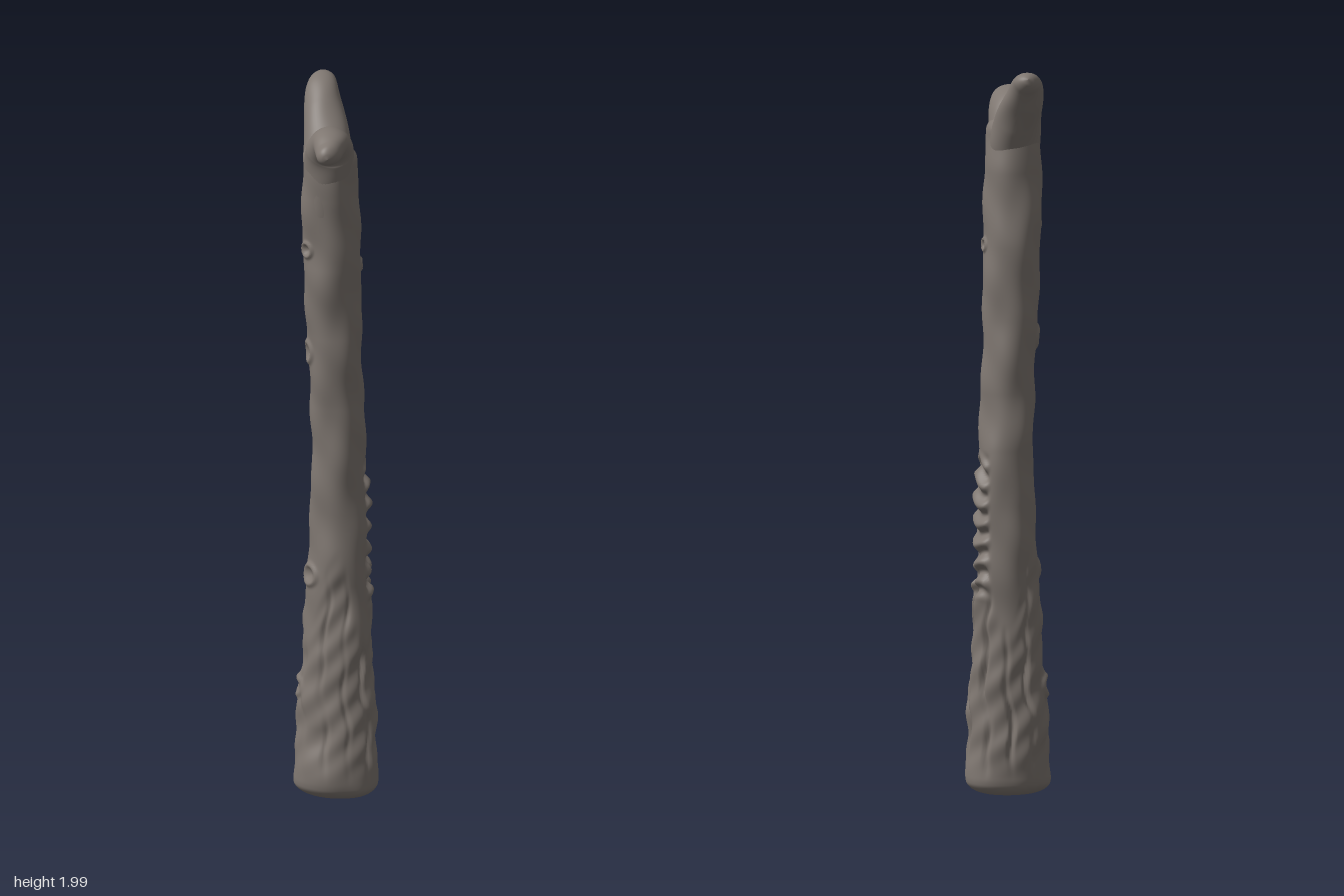
import * as THREE from 'three';

const wood = new THREE.MeshStandardMaterial({ color: 0x7f7771 });
wood.name = 'weatheredWood';

const smooth = (a, b, x) => THREE.MathUtils.smoothstep(x, a, b);
const band = (a, b, soft, x) => smooth(a, a + soft, x) * (1 - smooth(b - soft, b, x));
const angleGap = (a, b) => Math.atan2(Math.sin(a - b), Math.cos(a - b));

// Closed tube skin: place(angle, t) gives a point, t runs from 0 to 1 along it
function skin(name, around, along, place) {
  const pos = [], index = [];
  for (let j = 0; j <= along; j++) {
    for (let i = 0; i < around; i++) {
      pos.push(...place((i / around) * Math.PI * 2, j / along).toArray());
      if (j === along) continue;
      const a = j * around + i, b = j * around + (i + 1) % around;
      index.push(a, a + around, b, b, a + around, b + around);
    }
  }
  const g = new THREE.BufferGeometry();
  g.setAttribute('position', new THREE.Float32BufferAttribute(pos, 3));
  g.setIndex(index);
  g.computeVertexNormals();
  const mesh = new THREE.Mesh(g, wood);
  mesh.name = name;
  return mesh;
}

// Trunk stations: y, min x, max x, min z, max z
const STATIONS = [
  [0.0, -0.065, 0.105, -0.082, 0.12],
  [0.05, -0.072, 0.112, -0.09, 0.125],
  [0.2, -0.055, 0.113, -0.094, 0.115],
  [0.4, -0.041, 0.112, -0.085, 0.102],
  [0.6, -0.031, 0.12, -0.079, 0.092],
  [0.8, -0.026, 0.125, -0.07, 0.085],
  [0.95, -0.026, 0.117, -0.066, 0.08],
  [1.1, -0.031, 0.102, -0.064, 0.079],
  [1.3, -0.045, 0.095, -0.065, 0.08],
  [1.5, -0.059, 0.09, -0.069, 0.085],
  [1.7, -0.069, 0.076, -0.067, 0.087],
  [1.8, -0.072, 0.07, -0.062, 0.086],
  [1.86, -0.065, 0.06, -0.055, 0.08],
];

function station(y) {
  let k = 0;
  while (k < STATIONS.length - 2 && y > STATIONS[k + 1][0]) k++;
  const A = STATIONS[k], B = STATIONS[k + 1];
  const f = smooth(0, 1, (y - A[0]) / (B[0] - A[0]));
  return A.map((v, n) => v + (B[n] - v) * f);
}

// Knots: y, angle, radius
const KNOTS = [[1.25, 3.95, 0.032], [1.55, 3.6, 0.022], [1.5, 0.8, 0.018], [0.62, 3.7, 0.03], [0.3, 4.1, 0.03]];

// Surface relief of the trunk: bark, carved ridges, split grain and knots
function relief(a, y) {
  let d = 0.0022 * Math.sin(y * 23 + 2 * a) + 0.0015 * Math.sin(y * 41 - 3 * a + 1) + 0.001 * Math.sin(5 * a + y * 9);
  const gap = angleGap(a, 0.72);
  // Gnawed cross ridges
  const carved = band(0.53, 0.95, 0.05, y) * band(-0.75, 0.75, 0.25, gap);
  const wave = Math.sin(((y + 0.03 * gap * gap + 0.012 * Math.sin(gap * 4 + y * 11)) / 0.057) * Math.PI * 2);
  d += carved * (0.009 * wave - 0.002);
  // Long splits in the lower part
  const low = band(0.04, 0.6 + 0.12 * Math.sin(3 * a), 0.12, y);
  const grain = Math.sin(9 * a + 0.9 * Math.sin(y * 13) + 0.5 * Math.sin(y * 37));
  const broken = 0.5 + 0.5 * Math.sin(y * 19 + 4 * a);
  const facing = 0.35 + 0.65 * smooth(-0.4, 0.5, Math.cos(a - 0.3));
  d -= low * facing * 0.011 * Math.pow(Math.max(0, grain), 4) * (0.4 + broken);
  d += low * 0.002 * Math.sin(y * 67 + 6 * a);
  // Raised rim with a sunken middle
  for (const [ky, ka, r] of KNOTS) {
    const q = Math.hypot(y - ky, angleGap(a, ka) * 0.075) / r;
    d += 0.007 * Math.exp(-Math.pow((q - 0.85) * 4, 2)) - 0.007 * Math.exp(-q * q * 5);
  }
  return d;
}

function trunkPoint(a, t) {
  // Rows of the rounded foot and rounded top, then the shaft
  const y = t < 0.04 ? 0.035 * (1 - Math.cos((t / 0.04) * Math.PI / 2))
    : t > 0.96 ? 1.81 + 0.05 * Math.sin(((t - 0.96) / 0.04) * Math.PI / 2)
      : 0.035 + ((t - 0.04) / 0.92) * 1.775;
  const end = t < 0.04 ? Math.pow(Math.sin((t / 0.04) * Math.PI / 2), 0.55)
    : t > 0.96 ? Math.cos(((t - 0.96) / 0.04) * Math.PI / 2) : 1;
  const [, x0, x1, z0, z1] = station(y);
  // The foot is longer along one diagonal
  const k = 0.02 + 0.1 * (1 - smooth(0.1, 0.9, y));
  const s = 1 + k * Math.cos(2 * (a - Math.PI / 4)) - 0.03 * k * Math.cos(4 * a);
  const d = relief(a, y);
  return new THREE.Vector3(
    (x0 + x1) / 2 + Math.cos(a) * ((x1 - x0) / 2 * s + d) * end, y,
    (z0 + z1) / 2 + Math.sin(a) * ((z1 - z0) / 2 * s + d) * end);
}

// Fork arm: points and matching half widths (across, along the fork plane)
function arm(name, points, sizes) {
  const path = new THREE.CatmullRomCurve3(points.map(p => new THREE.Vector3(...p)));
  const size = new THREE.CatmullRomCurve3(sizes.map(([w, h]) => new THREE.Vector3(w, h, 0)));
  const across = new THREE.Vector3(1, 0, 1).normalize();
  return skin(name, 48, 64, (a, t) => {
    const p = path.getPoint(t), r = size.getPoint(t);
    const n = across.clone().cross(path.getTangent(t)).normalize();
    const q = Math.max(0, (t - 0.88) / 0.12);
    const end = Math.sqrt(Math.max(0, 1 - q * q)) * (1 + 0.02 * Math.sin(3 * a + t * 14));
    return p.addScaledVector(across, Math.cos(a) * r.x * end).addScaledVector(n, Math.sin(a) * r.y * end);
  });
}

export function createModel() {
  const group = new THREE.Group();
  group.name = 'forkedStaff';
  group.add(skin('trunk', 112, 420, trunkPoint));
  group.add(arm('longForkArm',
    [[0, 1.66, 0.01], [0.003, 1.77, 0.008], [0.035, 1.845, -0.025], [0.072, 1.91, -0.067], [0.103, 1.955, -0.096], [0.143, 1.983, -0.126]],
    [[0.066, 0.066], [0.069, 0.066], [0.062, 0.056], [0.053, 0.045], [0.043, 0.034], [0.026, 0.022]]));
  group.add(arm('shortForkArm',
    [[0, 1.66, 0.01], [-0.006, 1.77, 0.016], [-0.032, 1.845, 0.038], [-0.072, 1.872, 0.072], [-0.108, 1.866, 0.096], [-0.144, 1.86, 0.117]],
    [[0.066, 0.066], [0.069, 0.066], [0.064, 0.058], [0.05, 0.043], [0.037, 0.033], [0.026, 0.024]]));
  return group;
}
